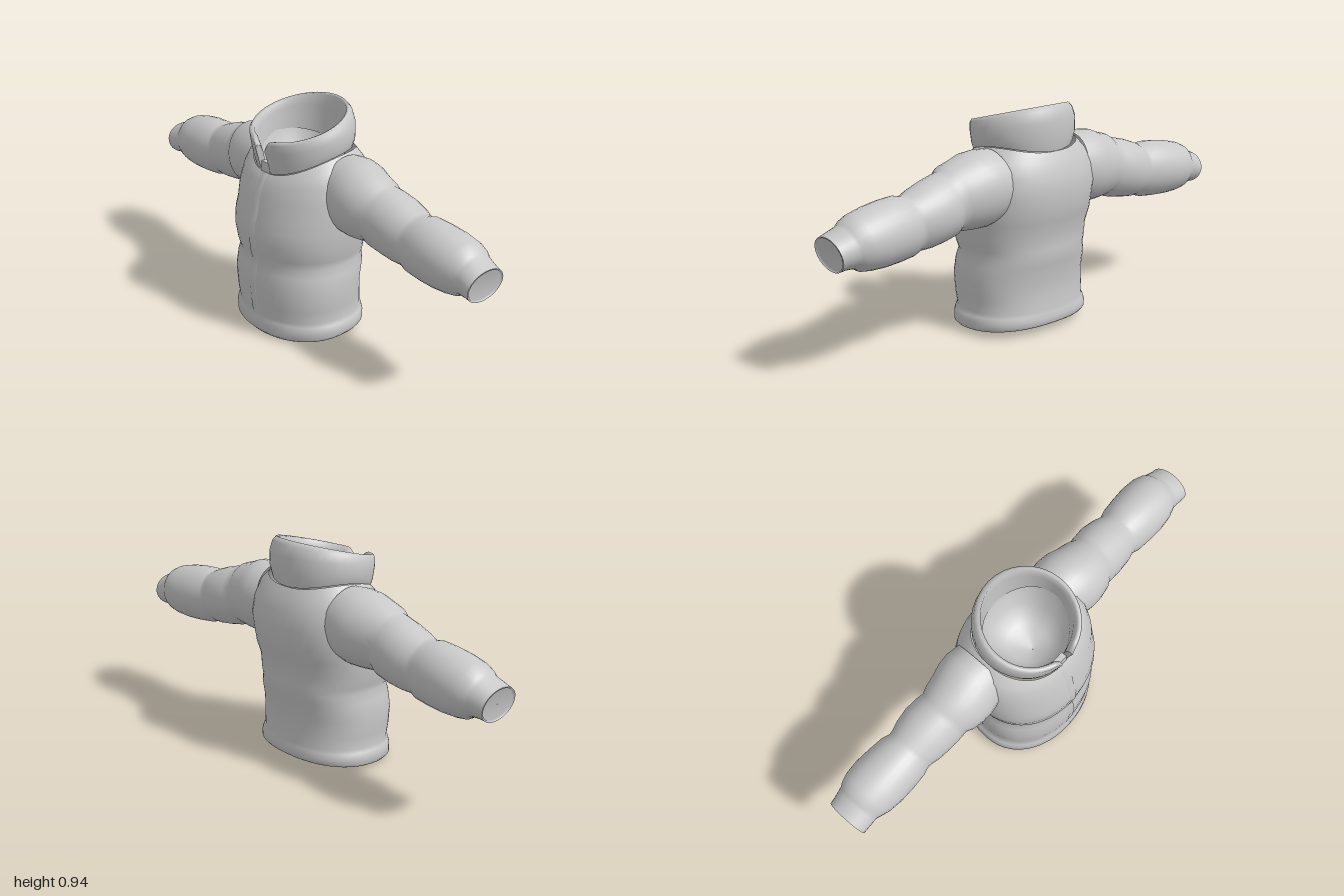
import * as THREE from 'three';

const fabric = new THREE.MeshStandardMaterial({ color: 0xc8c8c8, side: THREE.DoubleSide });
fabric.name = 'light grey fabric';

// Skin a list of equal-length point rows; closed joins the last column to the first
function loft(name, rows, closed) {
  const n = rows[0].length, pos = rows.flat(2), index = [];
  for (let i = 0; i < rows.length - 1; i++) {
    for (let j = 0; j < (closed ? n : n - 1); j++) {
      const k = (j + 1) % n, a = i * n + j, b = i * n + k, c = a + n, d = b + n;
      index.push(a, b, d, a, d, c);
    }
  }
  const g = new THREE.BufferGeometry();
  g.setAttribute('position', new THREE.Float32BufferAttribute(pos, 3));
  g.setIndex(index);
  g.computeVertexNormals();
  const mesh = new THREE.Mesh(g, fabric);
  mesh.name = name;
  return mesh;
}

// Horizontal oval: yF/yB are the front/back heights, lift raises the sides
function oval([yF, yB, rx, zf, zb, lift = 0], n = 48) {
  return Array.from({ length: n }, (_, j) => {
    const t = j / n * Math.PI * 2, s = Math.sin(t), c = Math.cos(t);
    const e = c < 0 ? 0.84 : 0.94; // the back is a little flatter than the front
    const x = rx * Math.sign(s) * Math.abs(s) ** e;
    const z = (zf + zb) / 2 + (zf - zb) / 2 * Math.sign(c) * Math.abs(c) ** e;
    return [x, yF + (yB - yF) * (1 - c) / 2 + lift * s * s, z];
  });
}

// Torso rows: front y, back y, half width, front z, back z, side lift
const TORSO = [
  [0.075, 0.09, 0.27, 0.235, -0.198], [0.05, 0.07, 0.262, 0.215, -0.185],
  [0.008, 0.04, 0.268, 0.218, -0.19], [0, 0.035, 0.28, 0.235, -0.204],
  [0.015, 0.045, 0.291, 0.249, -0.211], [0.05, 0.065, 0.291, 0.25, -0.212],
  [0.072, 0.085, 0.285, 0.245, -0.207], [0.085, 0.1, 0.273, 0.243, -0.204],
  [0.14, 0.15, 0.279, 0.25, -0.2], [0.22, 0.22, 0.283, 0.255, -0.197],
  [0.29, 0.295, 0.277, 0.247, -0.214], [0.325, 0.33, 0.263, 0.24, -0.218],
  [0.36, 0.36, 0.274, 0.25, -0.219], [0.42, 0.42, 0.286, 0.257, -0.217],
  [0.48, 0.48, 0.292, 0.254, -0.238], [0.53, 0.53, 0.294, 0.238, -0.245],
  [0.6, 0.6, 0.294, 0.227, -0.255], [0.655, 0.665, 0.283, 0.204, -0.242, 0.02],
  [0.675, 0.715, 0.255, 0.194, -0.224, 0.04], [0.69, 0.755, 0.212, 0.183, -0.201, 0.05],
];

// Arm rows: x, centre y, half height, centre z, half depth
const ARM = [
  [0.2, 0.635, 0.14, -0.055, 0.13], [0.26, 0.63, 0.149, -0.055, 0.14],
  [0.31, 0.62, 0.152, -0.05, 0.142], [0.36, 0.61, 0.143, -0.045, 0.135],
  [0.41, 0.605, 0.134, -0.045, 0.125], [0.435, 0.598, 0.122, -0.048, 0.113],
  [0.46, 0.588, 0.127, -0.052, 0.117], [0.52, 0.575, 0.125, -0.057, 0.119],
  [0.58, 0.56, 0.119, -0.058, 0.112], [0.615, 0.552, 0.112, -0.058, 0.102],
  [0.635, 0.549, 0.111, -0.058, 0.1], [0.665, 0.547, 0.121, -0.059, 0.11],
  [0.73, 0.541, 0.122, -0.061, 0.116], [0.8, 0.534, 0.118, -0.064, 0.119],
  [0.86, 0.528, 0.11, -0.066, 0.113], [0.895, 0.523, 0.1, -0.067, 0.102],
  [0.91, 0.521, 0.086, -0.066, 0.095], [0.925, 0.52, 0.079, -0.064, 0.093],
  [0.96, 0.513, 0.071, -0.06, 0.09], [0.986, 0.506, 0.068, -0.059, 0.089],
];

// Upright oval across the sleeve, tilted with the drooping arm; s is the side
function sleeveRing(s, [x, cy, ry, cz, rz]) {
  return Array.from({ length: 32 }, (_, j) => {
    const t = j / 32 * Math.PI * 2, c = Math.cos(t);
    return [s * (x + 0.19 * ry * c), cy + ry * c, cz + s * rz * Math.sin(t)];
  });
}

function makeArm(s) {
  const arm = new THREE.Group();
  arm.name = s > 0 ? 'leftArm' : 'rightArm';
  arm.add(loft('sleeve', ARM.map(r => sleeveRing(s, r)), true));
  // Cuff rim and slightly recessed end
  arm.add(loft('cuffEnd', [
    [0.986, 0.506, 0.068, -0.059, 0.089], [0.986, 0.506, 0.063, -0.059, 0.083],
    [0.979, 0.506, 0.061, -0.059, 0.081], [0.979, 0.506, 0.0005, -0.059, 0.0005],
  ].map(r => sleeveRing(s, r)), true));
  return arm;
}

// Collar profile from outer bottom over the rim to inner bottom: height, half width, front z, back z
const COLLAR = [
  [0, 0.208, 0.182, -0.2], [0.25, 0.219, 0.19, -0.209], [0.65, 0.219, 0.203, -0.211],
  [0.9, 0.209, 0.211, -0.2], [1, 0.197, 0.206, -0.184], [0.97, 0.186, 0.191, -0.173],
  [0.7, 0.181, 0.176, -0.174], [0, 0.177, 0.16, -0.17],
];

function makeCollar() {
  const group = new THREE.Group(), gap = 0.14, n = 56;
  group.name = 'collar';
  const rows = COLLAR.map(([h, rx, zf, zb]) => Array.from({ length: n + 1 }, (_, j) => {
    // Columns crowd towards the front opening
    const u = j / n, v = u - 0.1 * Math.sin(u * Math.PI * 2);
    const t = gap + v * (Math.PI * 2 - 2 * gap), s = Math.sin(t), c = Math.cos(t);
    const edge = Math.max(0, 1 - (Math.min(t, Math.PI * 2 - t) - gap) / 0.18);
    const bottom = 0.7225 - 0.0325 * c + 0.05 * s * s;
    const top = 0.888 - 0.052 * c - 0.035 * edge * edge;
    return [rx * s, bottom + (top - bottom) * h, (zf + zb) / 2 + (zf - zb) / 2 * c];
  }));
  group.add(loft('collarBand', rows, false));
  // Close both ends of the band at the opening
  for (const j of [0, n]) {
    const pick = ids => ids.map(i => rows[i][j]);
    const sides = [pick([0, 1, 2, 3, 4]), pick([7, 6, 6, 5, 4])];
    group.add(loft('collarEnd', j ? sides : sides.reverse(), false));
  }
  return group;
}

export function createModel() {
  const jacket = new THREE.Group();
  jacket.name = 'jacket';
  jacket.add(loft('torso', TORSO.map(r => oval(r)), true));

  // Thin flap covering the front fastening
  jacket.add(loft('frontFlap', TORSO.slice(7).map(([y, , , z]) => [
    [-0.02, y, z - 0.008], [-0.015, y, z + 0.002], [0.015, y, z + 0.002], [0.02, y, z - 0.008],
  ]), false));

  jacket.add(makeCollar(), makeArm(1), makeArm(-1));

  // Lining hollow inside the neck
  jacket.add(loft('neckLining', [
    [0.59, 0.59, 0.001, 0.031, 0.029], [0.605, 0.61, 0.08, 0.09, -0.08],
    [0.65, 0.66, 0.145, 0.14, -0.145], [0.7, 0.77, 0.179, 0.165, -0.173, 0.05],
  ].map(r => oval(r).reverse()), true));

  // Fastener tab at the foot of the collar opening
  const tab = new THREE.Mesh(new THREE.BoxGeometry(0.054, 0.045, 0.025), fabric);
  tab.name = 'fastenerTab';
  tab.position.set(0, 0.71, 0.17);
  jacket.add(tab);
  return jacket;
}
